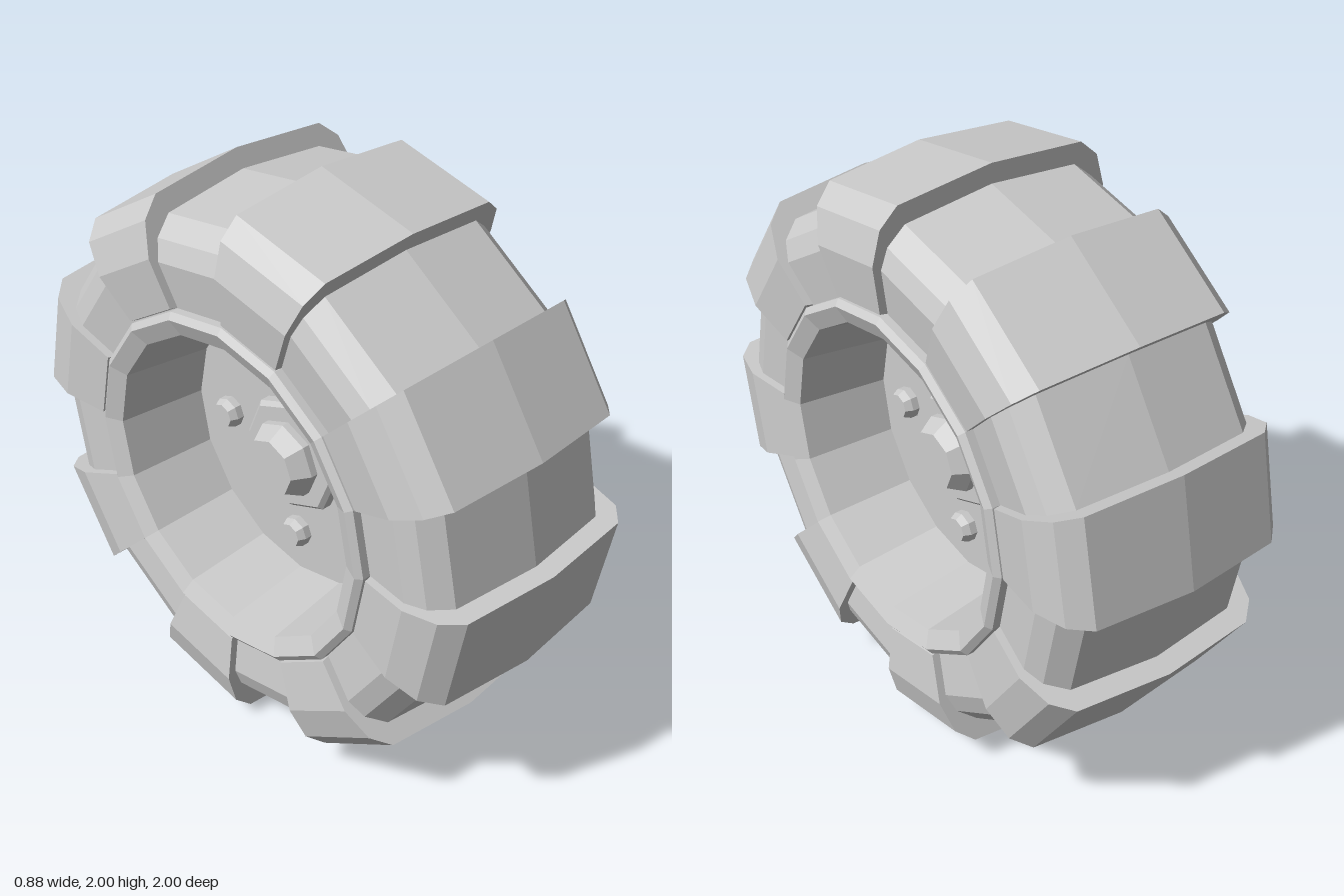
import * as THREE from 'three';

const STEP = Math.PI / 8; // sixteen facets around the wheel
const material = new THREE.MeshStandardMaterial({ color: 0xcccccc, flatShading: true });

function addMesh(parent, name, geometry) {
  const mesh = new THREE.Mesh(geometry, material);
  mesh.name = name;
  parent.add(mesh);
  return mesh;
}

// Revolve [x, radius] points around the x axis; angle 0 is up, growing towards +z
function revolve(points, segments, start = 0, length = Math.PI * 2) {
  const profile = points.map(([x, r]) => new THREE.Vector2(r, x));
  return new THREE.LatheGeometry(profile, segments, start - Math.PI / 2, length).rotateZ(-Math.PI / 2);
}

// Mirror a half profile (centre to side) into a full one, running from -x to +x
function mirrored(half) {
  return [...half.slice(1).reverse().map(([x, r]) => [-x, r]), ...half];
}

export function createModel() {
  const wheel = new THREE.Group();
  wheel.name = 'wheel';

  // Tyre carcass
  const tyreProfile = mirrored([[0, 0.93], [0.32, 0.897], [0.385, 0.84], [0.41, 0.77], [0.39, 0.6]]);
  addMesh(wheel, 'tyre', revolve(tyreProfile, 16));

  // Raised tread blocks over every second facet, closed by radial end faces
  const blockProfile = mirrored([[0, 1], [0.345, 0.967], [0.41, 0.905], [0.44, 0.79], [0.42, 0.62], [0.37, 0.61]]);
  const endShape = new THREE.Shape(blockProfile.map(([x, r]) => new THREE.Vector2(x, r)));
  for (let i = 0; i < 8; i++) {
    const start = i * 2 * STEP;
    const block = new THREE.Group();
    block.name = 'treadBlock';
    addMesh(block, 'treadSurface', revolve(blockProfile, 1, start, STEP));
    addMesh(block, 'treadEnd', new THREE.ShapeGeometry(endShape).rotateX(start + STEP));
    addMesh(block, 'treadEnd', new THREE.ShapeGeometry(endShape).rotateY(Math.PI).rotateX(start));
    wheel.add(block);
  }

  // Rim, hub and bolts, the same on both sides
  for (const turn of [0, Math.PI]) {
    const side = new THREE.Group();
    side.name = turn ? 'rightSide' : 'leftSide';
    side.rotation.y = turn;

    addMesh(side, 'rim', revolve(
      [[0.37, 0.612], [0.42, 0.612], [0.437, 0.59], [0.41, 0.53], [0.1, 0.488], [0.1, 0]], 16));
    addMesh(side, 'hubPlate', revolve([[0.09, 0.205], [0.135, 0.205], [0.15, 0.19], [0.15, 0]], 8));
    addMesh(side, 'hubCap', revolve([[0.14, 0.135], [0.175, 0.135], [0.235, 0.1], [0.235, 0]], 8));

    for (let i = 0; i < 4; i++) {
      const angle = i * Math.PI / 2;
      const bolt = addMesh(side, 'bolt', revolve([[0.09, 0.054], [0.125, 0.054], [0.15, 0.042], [0.15, 0]], 8));
      bolt.position.set(0, Math.cos(angle) * 0.325, Math.sin(angle) * 0.325);
    }
    wheel.add(side);
  }

  // Stand the wheel on the ground
  wheel.children.forEach((part) => { part.position.y += 1; });
  return wheel;
}
